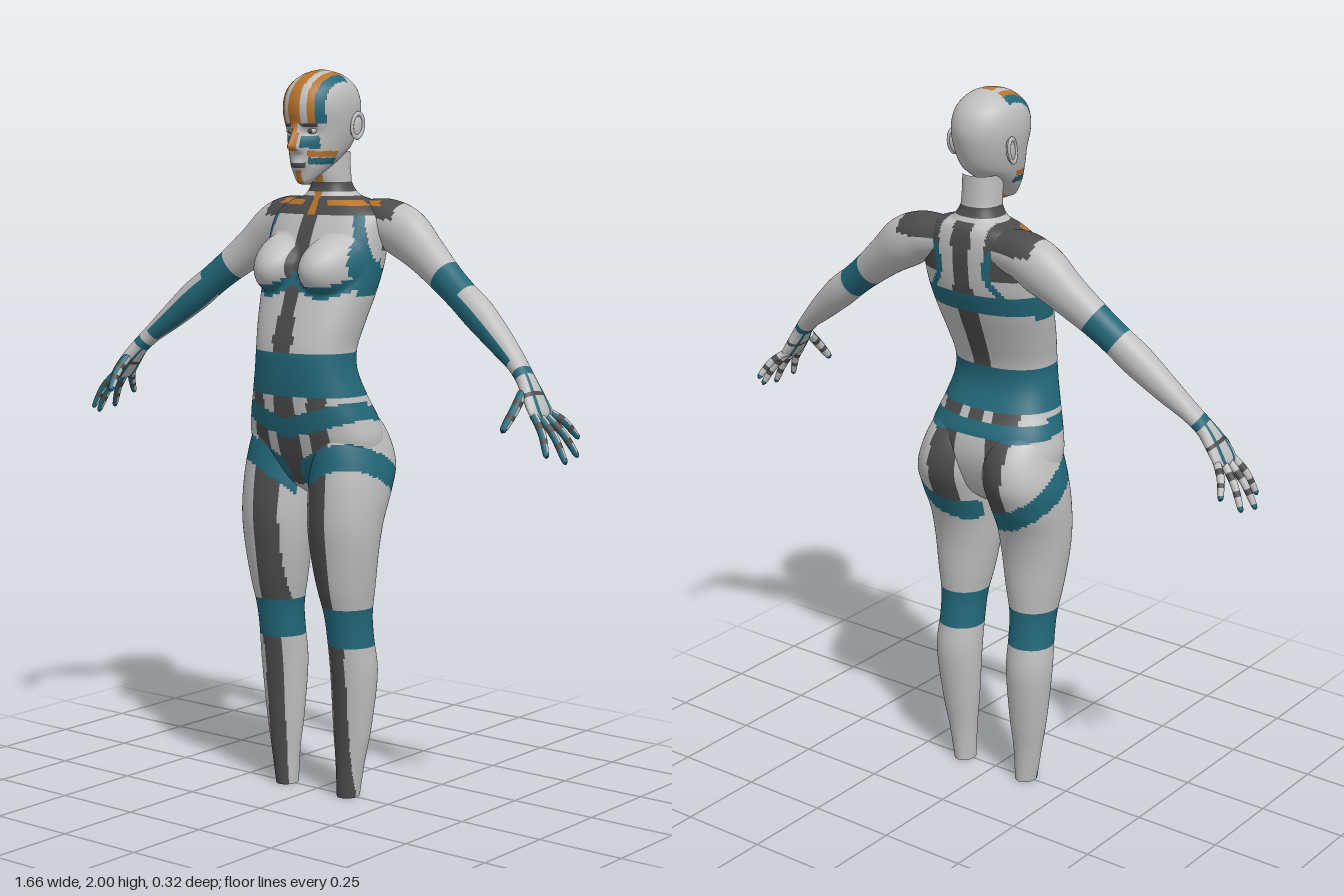
import * as THREE from 'three';

const GREY = 0, DARK = 1, TEAL = 2, ORANGE = 3;
const { abs, sin, cos, exp, sign, max, min, PI } = Math;
const within = (v, a, b) => v >= a && v < b;
const near = (v, c, r) => abs(v - c) < r;

// Catmull-Rom blend of cross-section rows; t counts rows
function sample(rows, t) {
  const n = rows.length - 1, i = min(Math.floor(t), n - 1), f = t - i;
  const r = k => rows[max(0, min(n, k))];
  return rows[0].map((_, c) => {
    const [a, b, d, e] = [r(i - 1)[c], r(i)[c], r(i + 1)[c], r(i + 2)[c]];
    return b + 0.5 * f * (d - a + f * (2 * a - 5 * b + 4 * d - e + f * (3 * (b - d) + e - a)));
  });
}

// Lofted skin: one vertex loop per step, each face put in the group of its colour
function loft(name, rows, steps, segs, point, paint, mats, side = 1) {
  const pos = [], faces = [[], [], [], []], n = rows.length - 1;
  for (let i = 0; i <= steps; i++) {
    const t = i / steps * n, row = sample(rows, t);
    for (let j = 0; j < segs; j++) {
      const p = point(row, j / segs * 2 * PI, t, rows);
      pos.push(p.x * side, p.y, p.z);
    }
  }
  for (let i = 0; i < steps; i++) for (let j = 0; j < segs; j++) {
    const k = (j + 1) % segs, q = [i * segs + j, i * segs + k, (i + 1) * segs + k, (i + 1) * segs + j];
    const mid = [0, 1, 2].map(c => q.reduce((s, v) => s + pos[v * 3 + c], 0) / 4);
    const list = faces[paint(...mid, (i + 0.5) / steps * n, (j + 0.5) / segs * 2 * PI)];
    if (side < 0) q.reverse();
    list.push(q[0], q[1], q[2], q[0], q[2], q[3]);
  }
  const g = new THREE.BufferGeometry();
  g.setAttribute('position', new THREE.Float32BufferAttribute(pos, 3));
  g.setIndex(faces.flat());
  g.computeVertexNormals();
  let start = 0;
  faces.forEach((f, m) => { if (f.length) g.addGroup(start, f.length, m); start += f.length; });
  const mesh = new THREE.Mesh(g, mats);
  mesh.name = name;
  return mesh;
}

// Suit pattern shared by the torso and legs
function paintBody(x, y, z) {
  const a = abs(x), front = z > 0, chestFront = z > (y > 1.4 ? -0.05 : 0.03);
  // legs
  if (within(y, 0.435, 0.545)) return TEAL;
  const bandY = 0.885 + 0.05 * max(-1, min(1, (a - 0.11) / 0.1)) + 0.07 * max(-1, min(1, z / 0.12));
  if (y < 1.02 && a > 0.02 && near(y, bandY, 0.04)) return TEAL;
  if (y < bandY) {
    const c = y > 0.5 ? 0.09 : 0.115;
    return z > 0.005 && near(a, c, y > 0.5 ? 0.036 : 0.028) ? DARK : GREY;
  }
  // hips and waist
  if (within(y, 1.13, 1.245)) return TEAL;
  if (y < 1.13) {
    if (near(y, front ? 1.035 + 0.3 * a : 1.075, front ? 0.028 : 0.02)) return TEAL;
    if (!front) return within(a, 0.05, 0.125) || (y > 1.09 && a < 0.02) ? DARK : GREY;
    return a < 0.035 || within(a, 0.075, 0.125) ? DARK : GREY;
  }
  // neck
  if (y > 1.66) {
    if (within(y, 1.672, 1.698)) return DARK;
    return z > -0.03 && a < 0.012 ? ORANGE : GREY;
  }
  // chest and back
  if (chestFront) {
    if (within(y, 1.637, 1.65) && a > 0.04) return ORANGE;
    if (y > 1.61) return a < 0.01 ? ORANGE : DARK;
    if (a > 0.165 ? near(y, 1.43, 0.032) : near(y, 1.405 + 0.04 * ((a - 0.09) / 0.09) ** 2, 0.016)) return TEAL;
    if (y > 1.42 && near(a, 0.172 - 0.045 * ((y - 1.42) / 0.23) ** 2, 0.013)) return TEAL;
    return a < 0.02 + 0.015 * max(0, 1 - abs(y - 1.28) / 0.12) ? DARK : GREY;
  }
  if (near(y, 1.44, 0.025)) return TEAL;
  if (y > 1.44 && near(a, 0.075 + 0.08 * ((y - 1.54) / 0.1) ** 2, 0.012)) return TEAL;
  if (y > 1.52 && a > 0.075) return DARK;
  return a < 0.03 ? DARK : GREY;
}

function paintHead(x, y, z) {
  const a = abs(x);
  if (y > 1.855 && z > -0.04) {
    if (a < 0.018 || within(a, 0.036, 0.053)) return ORANGE;
    return within(a, 0.053, 0.073) ? TEAL : GREY;
  }
  if (z < 0) return GREY;
  if (a < 0.011 && y > 1.785) return ORANGE;
  if (z > 0.03 && within(a, 0.016, 0.056)) {
    if (near(y, 1.852, 0.004)) return DARK;
    if (within(y, 1.79, 1.822)) return TEAL;
  }
  if (a < 0.025 && near(y, 1.745, 0.007)) return DARK;
  if (a > 0.03 && near(y, 1.775, 0.008)) return ORANGE;
  if (a > 0.03 && near(y, 1.756, 0.009)) return TEAL;
  return a < 0.01 && y < 1.732 ? ORANGE : GREY;
}

const power = (v, e) => sign(v) * abs(v) ** e;

// Torso loop [y, half width, front z, back z] with the bust pushed forward
function torsoPoint([y, w, zf, zb], th) {
  const x = w * power(sin(th), 0.88);
  let z = (zf + zb) / 2 + (zf - zb) / 2 * power(cos(th), 0.88);
  const d = ((abs(x) - 0.092) / 0.08) ** 2 + ((y - 1.48) / 0.078) ** 2;
  if (cos(th) > 0 && d < 1) z += 0.07 * (1 - d) ** 0.75;
  return { x, y, z };
}

// Head loop [y, half width, front z, back z, rise at back] with nose, sockets and lips
function headPoint([y0, w, zf, zb, lift], th) {
  const x = w * sin(th), y = y0 + lift * (1 - cos(th)) / 2;
  let z = (zf + zb) / 2 + (zf - zb) / 2 * cos(th);
  if (cos(th) > 0) {
    const nose = max(0, y > 1.793 ? 1 - (y - 1.793) / 0.065 : 1 - (1.793 - y) / 0.018);
    z += 0.04 * nose * exp(-((x / 0.014) ** 2));
    z -= 0.013 * exp(-(((abs(x) - 0.036) / 0.02) ** 2) - ((y - 1.833) / 0.015) ** 2);
    z += 0.008 * exp(-((x / 0.026) ** 2) - ((y - 1.745) / 0.012) ** 2);
  }
  return { x, y, z };
}

// Leg loop [y, inner x, outer x, front z, back z]
const legPoint = ([y, xi, xo, zf, zb], th) => ({
  x: (xi + xo) / 2 + (xo - xi) / 2 * sin(th), y, z: (zf + zb) / 2 + (zf - zb) / 2 * cos(th),
});

// Limb loop [x, y, z, thickness, width] set square to the path
function limbPoint([x, y, z, ra, rb], th, t, rows) {
  const e = rows.length - 1, p = sample(rows, max(0, t - 0.05)), q = sample(rows, min(e, t + 0.05));
  const dir = new THREE.Vector3(q[0] - p[0], q[1] - p[1], q[2] - p[2]).normalize();
  const up = new THREE.Vector3(0, 0, 1).cross(dir).normalize();
  const across = dir.clone().cross(up);
  return new THREE.Vector3(x, y, z).addScaledVector(up, max(ra, 0) * cos(th)).addScaledVector(across, max(rb, 0) * sin(th));
}

function paintArm(x, y, z, t, th) {
  if (abs(x) < 0.22 && y > 1.6) return within(y, 1.637, 1.65) && z > -0.07 && abs(x) < 0.17 ? ORANGE : DARK;
  if (within(t, 3.9, 5.1) || within(t, 8.5, 8.9)) return TEAL;
  if (within(t, 5.1, 8) && sin(th) > 0.1 && cos(th) < 0.3) return TEAL;
  if (within(t, 9.9, 10.15)) return DARK;
  return t > 8.9 && (near(sin(th), 0.45, 0.12) || near(sin(th), -0.45, 0.12)) ? TEAL : GREY;
}

function paintFinger(x, y, z, t, th) {
  if (near(t, 0.75, 0.1) || near(t, 1.4, 0.1)) return DARK;
  return sin(th) > 0.35 || t > 1.85 ? TEAL : GREY;
}

export function createModel() {
  const model = new THREE.Group();
  model.name = 'figure';
  const mats = [['lightGrey', 0xbebebe], ['darkGrey', 0x4c4c4c], ['teal', 0x22687a], ['orange', 0xb8732c]].map(([name, color]) => {
    const m = new THREE.MeshStandardMaterial({ color });
    m.name = name;
    return m;
  });
  const add = (name, geo, mat, parent = model) => {
    const m = new THREE.Mesh(geo, mat);
    m.name = name;
    parent.add(m);
    return m;
  };

  const torso = [[0.835, 0.01, 0.01, -0.02], [0.88, 0.09, 0.075, -0.08], [0.94, 0.185, 0.105, -0.11], [1, 0.205, 0.125, -0.122],
    [1.06, 0.193, 0.14, -0.113], [1.12, 0.172, 0.15, -0.085], [1.19, 0.152, 0.157, -0.058], [1.25, 0.147, 0.157, -0.06],
    [1.32, 0.158, 0.14, -0.085], [1.4, 0.172, 0.112, -0.118], [1.48, 0.18, 0.085, -0.146], [1.56, 0.183, 0.055, -0.156],
    [1.61, 0.175, 0.03, -0.155], [1.645, 0.13, 0.01, -0.147], [1.662, 0.078, 0, -0.132], [1.69, 0.056, -0.008, -0.116],
    [1.72, 0.052, -0.004, -0.112], [1.78, 0.05, 0, -0.11]];
  model.add(loft('torso', torso, 150, 120, torsoPoint, paintBody, mats));

  const head = [[1.692, 0.004, 0.05, 0.03, 0], [1.695, 0.026, 0.072, 0, 0.03], [1.715, 0.046, 0.081, -0.05, 0.04],
    [1.75, 0.064, 0.087, -0.088, 0.03], [1.79, 0.075, 0.09, -0.112, 0.01], [1.84, 0.086, 0.093, -0.131, 0],
    [1.89, 0.093, 0.104, -0.143, 0], [1.93, 0.09, 0.098, -0.137, 0], [1.96, 0.078, 0.078, -0.118, 0],
    [1.985, 0.052, 0.042, -0.082, 0], [1.997, 0.022, 0.004, -0.04, 0], [2, 0.001, -0.017, -0.019, 0]];
  model.add(loft('head', head, 120, 120, headPoint, paintHead, mats));

  const leg = [[0, 0.08, 0.14, 0.035, -0.035], [0.1, 0.075, 0.157, 0.04, -0.042], [0.2, 0.065, 0.175, 0.046, -0.056],
    [0.35, 0.058, 0.19, 0.058, -0.072], [0.45, 0.058, 0.186, 0.072, -0.06], [0.52, 0.055, 0.187, 0.085, -0.054],
    [0.6, 0.038, 0.2, 0.105, -0.058], [0.7, 0.02, 0.215, 0.12, -0.062], [0.78, 0.012, 0.222, 0.128, -0.08],
    [0.86, 0.006, 0.226, 0.125, -0.118], [0.93, 0.004, 0.222, 0.118, -0.146], [1, 0.006, 0.203, 0.11, -0.138],
    [1.06, 0.02, 0.178, 0.09, -0.1], [1.1, 0.06, 0.13, 0.03, -0.04]];
  const arm = [[0.1, 1.595, -0.09, 0.056, 0.058], [0.17, 1.588, -0.095, 0.066, 0.062], [0.23, 1.56, -0.097, 0.07, 0.06],
    [0.3, 1.51, -0.09, 0.057, 0.05], [0.38, 1.45, -0.075, 0.047, 0.042], [0.44, 1.405, -0.066, 0.044, 0.04],
    [0.5, 1.36, -0.058, 0.045, 0.041], [0.58, 1.295, -0.043, 0.036, 0.035], [0.64, 1.245, -0.028, 0.026, 0.03],
    [0.68, 1.205, -0.014, 0.022, 0.031], [0.71, 1.165, -0.005, 0.02, 0.042], [0.74, 1.12, 0, 0.014, 0.046],
    [0.748, 1.108, 0, 0, 0]];
  // finger roots and tips: [x, y, z] each
  const fingers = {
    thumb: [0.695, 1.175, 0.025, 0.69, 1.09, 0.1], indexFinger: [0.735, 1.125, 0.034, 0.795, 1.03, 0.062],
    middleFinger: [0.738, 1.122, 0.011, 0.82, 1.012, 0.015], ringFinger: [0.738, 1.122, -0.012, 0.815, 1.022, -0.045],
    littleFinger: [0.732, 1.128, -0.034, 0.785, 1.06, -0.095],
  };

  for (const [label, s] of [['left', 1], ['right', -1]]) {
    model.add(loft(label + 'Leg', leg, 130, 72, legPoint, paintBody, mats, s));
    const sole = add(label + 'LegEnd', new THREE.CircleGeometry(1, 32), mats[GREY]);
    sole.rotation.x = PI / 2;
    sole.scale.set(0.03, 0.035, 1);
    sole.position.set(s * 0.11, 0, 0);

    model.add(loft(label + 'Arm', arm, 120, 48, limbPoint, paintArm, mats, s));
    const hand = new THREE.Group();
    hand.name = label + 'Fingers';
    model.add(hand);
    for (const [name, [x, y, z, X, Y, Z]] of Object.entries(fingers)) {
      const r = name === 'thumb' ? 0.013 : 0.0105;
      const rows = [[x, y, z, r, r], [(x + X) / 2 + 0.006, (y + Y) / 2 + 0.006, (z + Z) / 2, r, r],
        [X, Y, Z, r * 0.72, r * 0.72], [X + (X - x) * 0.06, Y + (Y - y) * 0.06, Z + (Z - z) * 0.06, 0, 0]];
      hand.add(loft(name, rows, 30, 14, limbPoint, paintFinger, mats, s));
    }

    // ear: flat shell with a raised rim
    const ear = new THREE.Group();
    ear.name = label + 'Ear';
    ear.position.set(s * 0.09, 1.85, -0.055);
    ear.rotation.set(-0.2, s * -0.2, 0);
    model.add(ear);
    add('earShell', new THREE.SphereGeometry(1, 20, 14), mats[GREY], ear).scale.set(0.009, 0.034, 0.021);
    const rim = add('earRim', new THREE.TorusGeometry(0.02, 0.0045, 8, 28), mats[GREY], ear);
    rim.rotation.y = PI / 2;
    rim.scale.y = 1.6;
    rim.position.x = s * 0.006;

    // eye: light ball with a dark iris
    const eye = add(label + 'Eye', new THREE.SphereGeometry(1, 20, 14), mats[GREY]);
    eye.scale.set(0.015, 0.008, 0.009);
    eye.position.set(s * 0.036, 1.836, 0.069);
    const iris = add(label + 'Iris', new THREE.SphereGeometry(1, 14, 10), mats[DARK]);
    iris.scale.set(0.006, 0.006, 0.004);
    iris.position.set(s * 0.036, 1.836, 0.076);
  }
  return model;
}
